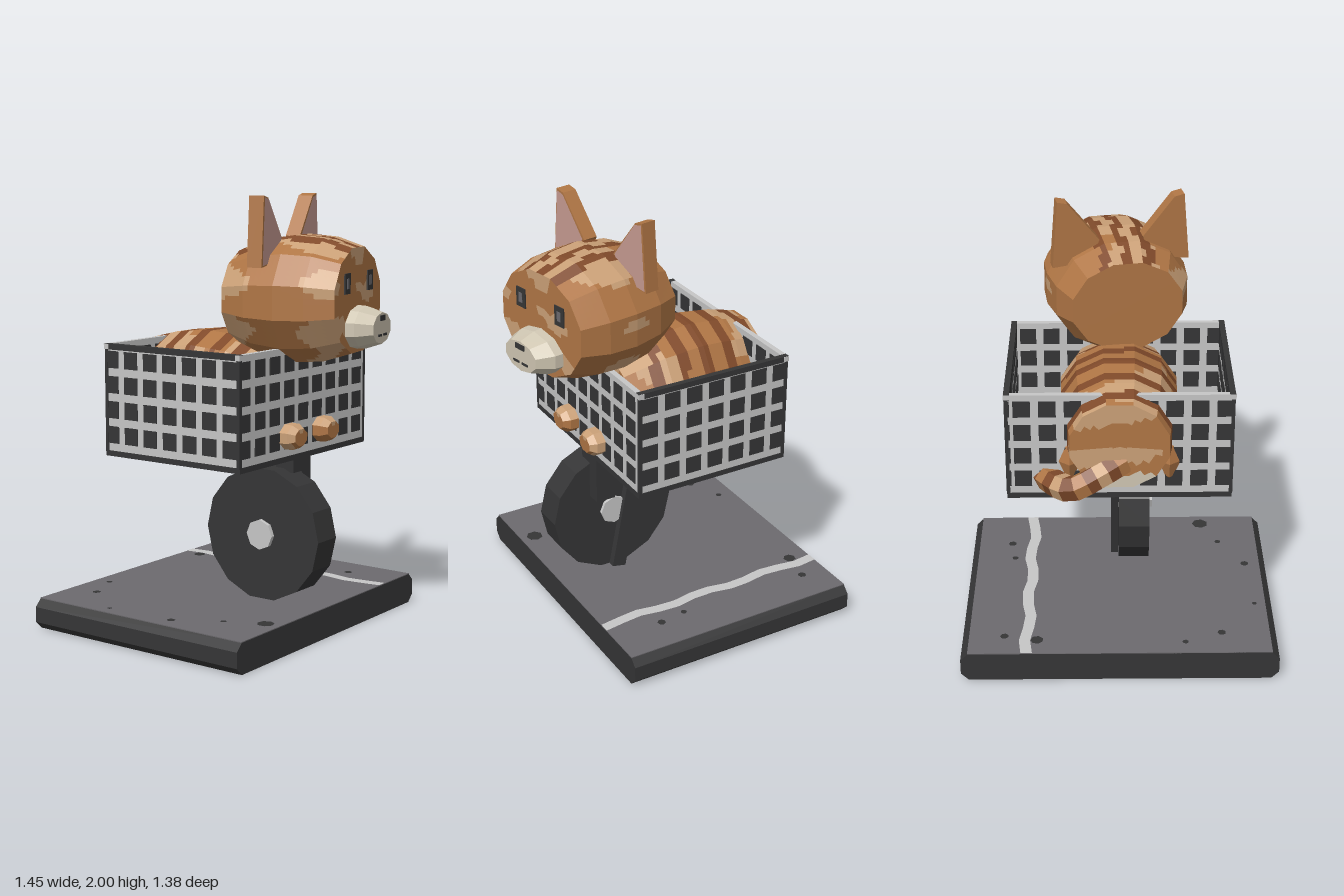
import * as THREE from 'three';

const colour = (name, hex) => {
  const m = new THREE.MeshStandardMaterial({ color: hex });
  m.name = name;
  return m;
};
const M = {
  orange: colour('orange fur', 0xb07645),
  stripe: colour('brown stripe', 0x804a2a),
  tan: colour('tan fur', 0xcaa077),
  cream: colour('cream muzzle', 0xcfc6b2),
  pink: colour('ear pink', 0xc69a90),
  dark: colour('dark plastic', 0x353536),
  light: colour('light plastic', 0xc6c6c6),
  gray: colour('asphalt gray', 0x6c6a6e),
};
const FUR = [M.orange, M.stripe, M.tan, M.cream];
const ORANGE = 0, STRIPE = 1, TAN = 2, CREAM = 3;

// Faceted copy of a geometry
function flat(g) {
  const f = g.index ? g.toNonIndexed() : g;
  f.computeVertexNormals();
  return f;
}
function add(parent, name, geo, mat, x = 0, y = 0, z = 0) {
  const m = new THREE.Mesh(geo, mat);
  m.name = name;
  m.position.set(x, y, z);
  parent.add(m);
  return m;
}
const box = (parent, name, mat, w, h, d, x, y, z) =>
  add(parent, name, new THREE.BoxGeometry(w, h, d), mat, x, y, z);

// Polygonal loft along z; sections are [z, cy, rx, ry], each panel takes the colour from pick(x, y, z)
function loft(sections, sides, subU, subV, pick) {
  const rings = [], n = sides * subU;
  const ring = (s) => Array.from({ length: n }, (_, k) => {
    const j = Math.floor(k / subU), t = (k % subU) / subU;
    const a = ((j + 0.5) / sides) * 2 * Math.PI, b = ((j + 1.5) / sides) * 2 * Math.PI;
    const c = Math.cos(a) * (1 - t) + Math.cos(b) * t, d = Math.sin(a) * (1 - t) + Math.sin(b) * t;
    return [c * s[2], s[1] + d * s[3], s[0]];
  });
  for (let i = 0; i < sections.length - 1; i++)
    for (let v = 0; v < subV; v++)
      rings.push(ring(sections[i].map((q, k) => q + ((sections[i + 1][k] - q) * v) / subV)));
  rings.push(ring(sections[sections.length - 1]));
  const buckets = FUR.map(() => []);
  for (let i = 0; i < rings.length - 1; i++)
    for (let j = 0; j < n; j++) {
      const k = (j + 1) % n;
      const a = rings[i][j], b = rings[i][k], c = rings[i + 1][k], d = rings[i + 1][j];
      const mid = [0, 1, 2].map((q) => (a[q] + b[q] + c[q] + d[q]) / 4);
      buckets[pick(...mid)].push(...a, ...b, ...c, ...a, ...c, ...d);
    }
  const g = new THREE.BufferGeometry();
  let start = 0;
  buckets.forEach((p, i) => {
    if (p.length) g.addGroup(start, p.length / 3, i);
    start += p.length / 3;
  });
  g.setAttribute('position', new THREE.Float32BufferAttribute(buckets.flat(), 3));
  g.computeVertexNormals();
  return g;
}
// Close both ends of a loft with flat caps
const capped = (s) => {
  const a = s[0], b = s[s.length - 1];
  return [[a[0], a[1], 0, 0], ...s, [b[0], b[1], 0, 0]];
};
const patch = (x, y, z) =>
  Math.sin(7 * x + 2) + Math.sin(31 * y + 3 * x) + Math.sin(13 * z + 5 * x) > 0.75 ? TAN : ORANGE;

function makeBase(root) {
  const g = new THREE.Group();
  g.name = 'base';
  root.add(g);
  const w = 0.725, h = 0.142, c = 0.035;
  const s = new THREE.Shape([[-w + c, 0], [w - c, 0], [w, c], [w, h - c], [w - c, h], [-w + c, h], [-w, h - c], [-w, c]]
    .map((p) => new THREE.Vector2(...p)));
  add(g, 'slab', new THREE.ExtrudeGeometry(s, { depth: 1.16, bevelEnabled: false }), M.dark, 0, 0, -0.68);
  box(g, 'roadSurface', M.gray, 1.385, 0.004, 1.16, 0, 0.143, -0.1);
  // Wavy painted line
  const left = [], right = [];
  for (let i = 0; i <= 12; i++) {
    const z = -0.68 + (1.16 * i) / 12, x = 0.425 + 0.012 * Math.sin(i * 1.7);
    left.push(new THREE.Vector2(x - 0.026, -z));
    right.unshift(new THREE.Vector2(x + 0.026, -z));
  }
  add(g, 'roadLine', new THREE.ShapeGeometry(new THREE.Shape([...left, ...right])), M.light, 0, 0.147, 0).rotation.x = -Math.PI / 2;
  // Tar spots
  [[-0.42, 0.41, 0.04], [-0.62, 0.04, 0.02], [0.53, -0.55, 0.02], [0.38, -0.58, 0.03], [-0.47, -0.53, 0.02],
    [-0.5, 0.24, 0.015], [0.51, 0.1, 0.015], [0.53, 0.23, 0.02], [-0.3, -0.6, 0.015], [-0.64, -0.3, 0.012]].forEach(([x, z, r]) => {
    add(g, 'tarSpot', new THREE.CircleGeometry(r, 7), M.dark, x, 0.147, z).rotation.x = -Math.PI / 2;
  });
}

function makeWheel(root) {
  const g = new THREE.Group();
  g.name = 'wheelAssembly';
  root.add(g);
  const disc = (name, r, len, n, mat, x) =>
    add(g, name, flat(new THREE.CylinderGeometry(r, r, len, n)), mat, x, 0.465, 0.19).rotation.z = Math.PI / 2;
  disc('wheel', 0.31, 0.145, 14, M.dark, -0.0725);
  disc('hub', 0.07, 0.18, 8, M.light, -0.075);
  box(g, 'mountBlock', M.dark, 0.14, 0.08, 0.095, 0, 0.79, 0.265);
  box(g, 'frontStrut', M.dark, 0.07, 0.26, 0.095, 0.035, 0.7, 0.265);
  box(g, 'slantedStrut', M.dark, 0.035, 0.68, 0.07, 0.0185, 0.49, 0.115).rotation.x = -0.19 + Math.PI;
  g.children[g.children.length - 1].rotation.x = -0.19;
}

function makeBasket(root) {
  const g = new THREE.Group();
  g.name = 'basket';
  root.add(g);
  const zc = -0.05, hw = 0.49, hd = 0.37, yc = 1.075;
  box(g, 'basketBottom', M.dark, 1, 0.025, 0.76, 0, 0.828, zc);
  box(g, 'basketFloor', M.light, 0.96, 0.008, 0.72, 0, 0.844, zc);
  for (const s of [-1, 1]) {
    const zw = zc + s * hd, xw = s * hw;
    box(g, 'endWall', M.light, 0.98, 0.48, 0.016, 0, yc, zw);
    box(g, 'sideWall', M.light, 0.016, 0.48, 0.74, xw, yc, zc);
    box(g, 'endRim', M.light, 1.01, 0.024, 0.026, 0, 1.318, zw);
    box(g, 'sideRim', M.dark, 0.026, 0.026, 0.765, xw, 1.318, zc);
    for (const t of [-1, 1]) box(g, 'cornerPost', M.dark, 0.016, 0.48, 0.016, s * 0.494, yc, zc + t * 0.372);
    // Square grid holes, seen inside and outside
    for (let r = 0; r < 4; r++) {
      const y = 0.915 + r * 0.115;
      for (let c = 0; c < 9; c++) box(g, 'endHole', M.dark, 0.076, 0.078, 0.022, (c - 4) * 0.111 - 0.018, y, zw);
      for (let c = 0; c < 7; c++) box(g, 'sideHole', M.dark, 0.022, 0.078, 0.076, xw, y, zc + (c - 3) * 0.111 - 0.008);
    }
  }
}

function makeBody(root) {
  const g = new THREE.Group();
  g.name = 'catBody';
  root.add(g);
  const bands = [-0.44, -0.31, -0.18, -0.055, 0.07];
  const pick = (x, y, z) => {
    if (y < 0.98 && z < -0.47) return CREAM;
    if (bands.some((b) => Math.abs(z + 0.01 * Math.sin(14 * x) - b) < 0.027)) return STRIPE;
    return patch(x, y, z);
  };
  add(g, 'torso', loft(capped([[-0.505, 1.115, 0.225, 0.21], [-0.36, 1.135, 0.25, 0.225], [-0.18, 1.145, 0.27, 0.235],
    [0.02, 1.13, 0.275, 0.235], [0.22, 1.1, 0.24, 0.2]]), 12, 3, 7, pick), FUR);
  for (const s of [-1, 1]) {
    add(g, 'haunch', flat(new THREE.SphereGeometry(1, 8, 6)), M.orange, s * 0.22, 1.0, -0.29).scale.set(0.095, 0.15, 0.175);
    const paw = loft(capped([[0.05, 0, 0.06, 0.05], [0.3, 0, 0.075, 0.062], [0.37, 0, 0.075, 0.06], [0.4, 0, 0.05, 0.04]]),
      8, 1, 2, (x, y) => (y > 0.02 || x * s > 0.04 ? TAN : ORANGE));
    add(g, 'frontPaw', paw, FUR, s * 0.13 - 0.005, 0.932, 0);
  }
  // Ringed tail curling into the basket
  const path = new THREE.CatmullRomCurve3([[-0.02, 1.02, -0.46], [0.1, 0.97, -0.515], [0.21, 0.92, -0.53], [0.33, 0.91, -0.4],
    [0.41, 0.92, -0.24], [0.43, 0.92, -0.09]].map((p) => new THREE.Vector3(...p)));
  const n = 16, sides = 6, tube = new THREE.TubeGeometry(path, n, 0.06, sides);
  for (let i = 0; i < n; i++) tube.addGroup(i * sides * 6, sides * 6, [ORANGE, STRIPE, TAN, STRIPE][i % 4]);
  add(g, 'tail', flat(tube), FUR);
  add(g, 'tailTip', new THREE.CircleGeometry(0.06, 6), M.stripe, 0.43, 0.92, -0.089);
}

function makeHead(root) {
  const g = new THREE.Group();
  g.name = 'catHead';
  g.position.set(0.01, 1.54, 0.3);
  g.rotation.y = 0.19;
  root.add(g);
  const pick = (x, y, z) => {
    if (z < -0.275) return ORANGE;
    if (z > 0.265) return Math.sin(38 * y + 5 * x) + Math.sin(17 * x + 9 * y) > 1.0 ? TAN : ORANGE;
    const wave = 0.012 * Math.sin(25 * z);
    if (y > 0.12 && [-0.1, 0, 0.1].some((b) => Math.abs(x + wave - b) < 0.023)) return STRIPE;
    return patch(x, y, z);
  };
  add(g, 'skull', loft(capped([[-0.28, 0, 0.26, 0.215], [-0.15, 0, 0.315, 0.27], [0, 0, 0.335, 0.293],
    [0.14, 0, 0.325, 0.282], [0.27, 0, 0.285, 0.24]]), 12, 6, 6, pick), FUR);
  add(g, 'muzzle', loft(capped([[0.24, -0.12, 0.16, 0.1], [0.31, -0.12, 0.155, 0.095], [0.385, -0.12, 0.112, 0.07]]),
    10, 1, 1, () => CREAM), FUR);
  box(g, 'nose', M.dark, 0.06, 0.024, 0.008, 0, -0.075, 0.386);
  for (const s of [-1, 1]) {
    box(g, 'mouth', M.dark, 0.04, 0.01, 0.006, s * 0.03, -0.15, 0.386);
    box(g, 'eye', M.dark, 0.062, 0.09, 0.008, s * 0.135, 0.08, 0.272);
    box(g, 'eyeGlint', M.gray, 0.024, 0.045, 0.008, s * 0.135, 0.08, 0.274);
    // Wedge ear with a pink front
    const outline = [[0.315, 0.15], [0.29, 0.46], [0.245, 0.45], [0.1, 0.27], [0.14, 0.17]];
    const shape = new THREE.Shape(outline.map(([x, y]) => new THREE.Vector2(s * x, y)));
    add(g, 'ear', new THREE.ExtrudeGeometry(shape, { depth: 0.07, bevelEnabled: false }), M.orange, 0, 0, -0.125);
    const inner = new THREE.Shape(outline.map(([x, y]) =>
      new THREE.Vector2(s * (0.23 + (x - 0.23) * 0.92), 0.3 + (y - 0.3) * 0.95)));
    add(g, 'innerEar', new THREE.ShapeGeometry(inner), M.pink, 0, 0, -0.052);
  }
}

export function createModel() {
  const root = new THREE.Group();
  root.name = 'catInBasketOnWheel';
  [makeBase, makeWheel, makeBasket, makeBody, makeHead].forEach((make) => make(root));
  return root;
}
